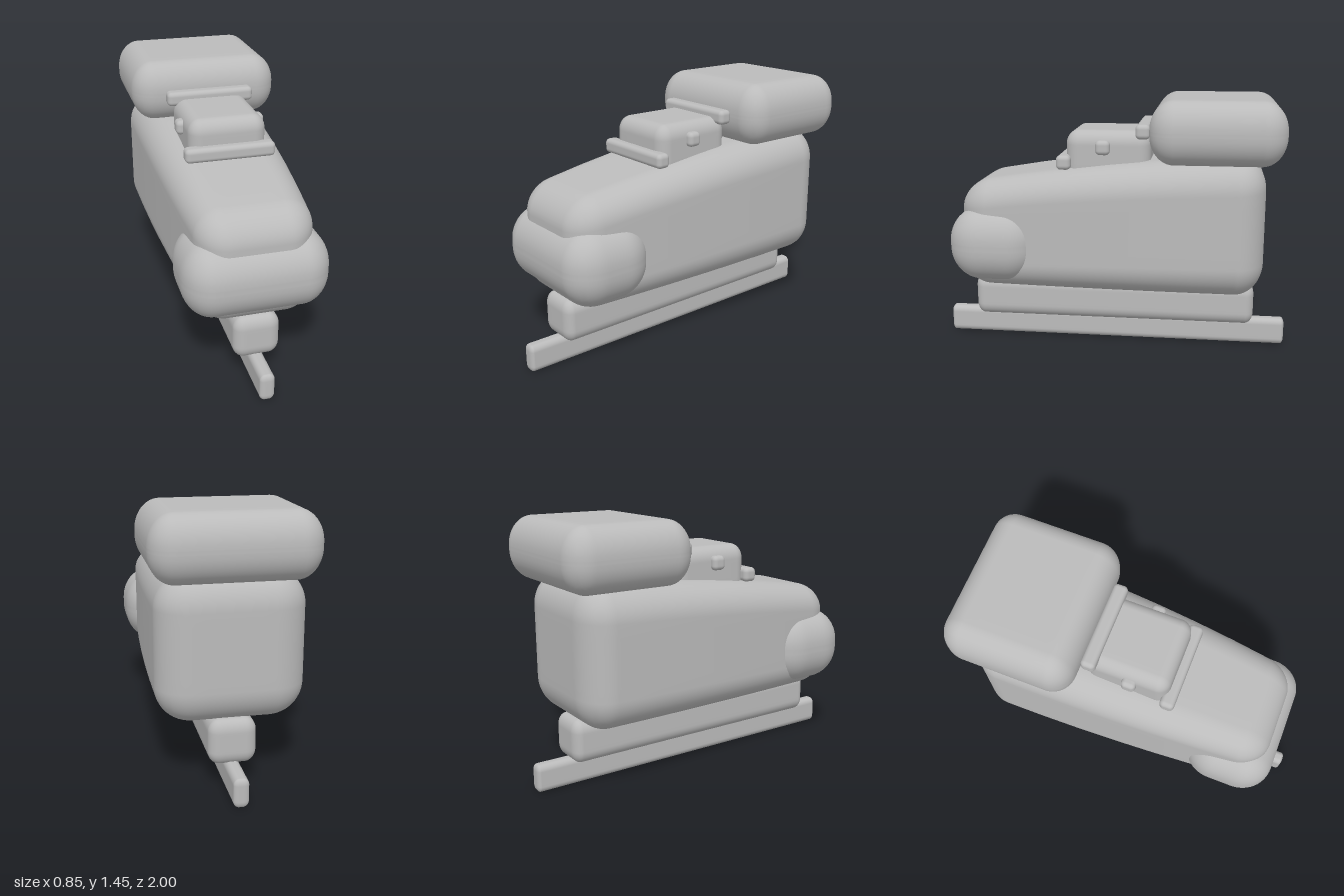
import * as THREE from 'three';
import { mergeVertices } from 'three/addons/utils/BufferGeometryUtils.js';

const SEG = 18; // a third of the segments for each rounded edge, a third for the flat middle

// Rounded box spanning min..max, with a separate edge radius per axis and an optional bend rule.
function softBox(min, max, radius, bend) {
  const geo = new THREE.BoxGeometry(2, 2, 2, SEG, SEG, SEG);
  geo.deleteAttribute('uv');
  geo.deleteAttribute('normal');
  const pos = geo.attributes.position;
  const v = new THREE.Vector3();
  const dir = new THREE.Vector3();
  for (let i = 0; i < pos.count; i++) {
    v.fromBufferAttribute(pos, i);
    const core = [0, 1, 2].map((a) => {
      const t = v.getComponent(a);
      const flat = (max[a] - min[a]) / 2 - radius[a];
      const k = Math.max(0, (Math.abs(t) - 1 / 3) * 1.5);
      dir.setComponent(a, Math.sign(t) * Math.tan(k * Math.PI / 4));
      return flat * Math.max(-1, Math.min(1, 3 * t));
    });
    dir.normalize();
    for (let a = 0; a < 3; a++) {
      v.setComponent(a, (min[a] + max[a]) / 2 + core[a] + dir.getComponent(a) * radius[a]);
    }
    if (bend) bend(v);
    pos.setXYZ(i, v.x, v.y, v.z);
  }
  const smooth = mergeVertices(geo, 1e-5);
  smooth.computeVertexNormals();
  return smooth;
}

// Boot narrows and gets lower towards the toe.
function taperBoot(v) {
  const halfWidth = 0.385 - 0.037 * Math.max(0, v.z + 0.7) ** 2;
  const top = 1.083 - 0.11 * v.z - 0.045 * v.z * v.z;
  v.x *= halfWidth;
  v.y = 0.365 + v.y * (top - 0.365);
}

export function createModel() {
  const model = new THREE.Group();
  model.name = 'iceSkate';
  const grey = new THREE.MeshStandardMaterial({ color: 0xbbbbbb });
  grey.name = 'grey';

  const add = (name, min, max, radius, bend) => {
    const mesh = new THREE.Mesh(softBox(min, max, radius, bend), grey);
    mesh.name = name;
    model.add(mesh);
  };

  // Runner and its holder
  add('blade', [-0.04, 0, -1], [0.04, 0.155, 1], [0.03, 0.035, 0.02]);
  add('bladeHolder', [-0.125, 0.14, -0.815], [0.125, 0.385, 0.82], [0.06, 0.07, 0.05]);

  // Boot, shaped in unit width and height before tapering
  add('boot', [-1, 0, -0.85], [1, 1, 0.85], [0.48, 0.24, 0.16], taperBoot);
  add('toeCap', [-0.39, 0.41, 0.41], [0.39, 0.83, 0.91], [0.16, 0.19, 0.18]);
  add('cuff', [-0.425, 1.1, -0.945], [0.425, 1.445, -0.22], [0.13, 0.16, 0.13]);
  add('tongue', [-0.215, 0.98, -0.22], [0.215, 1.265, 0.25], [0.07, 0.08, 0.07]);

  // Lace bars climbing the tongue: [centre y, centre z]
  [[1.09, 0.258], [1.175, 0.04], [1.265, -0.18]].forEach(([y, z], i) => {
    add('lace' + (i + 1), [-0.25, y - 0.04, z - 0.04], [0.25, y + 0.04, z + 0.04], [0.025, 0.025, 0.025]);
  });

  return model;
}
